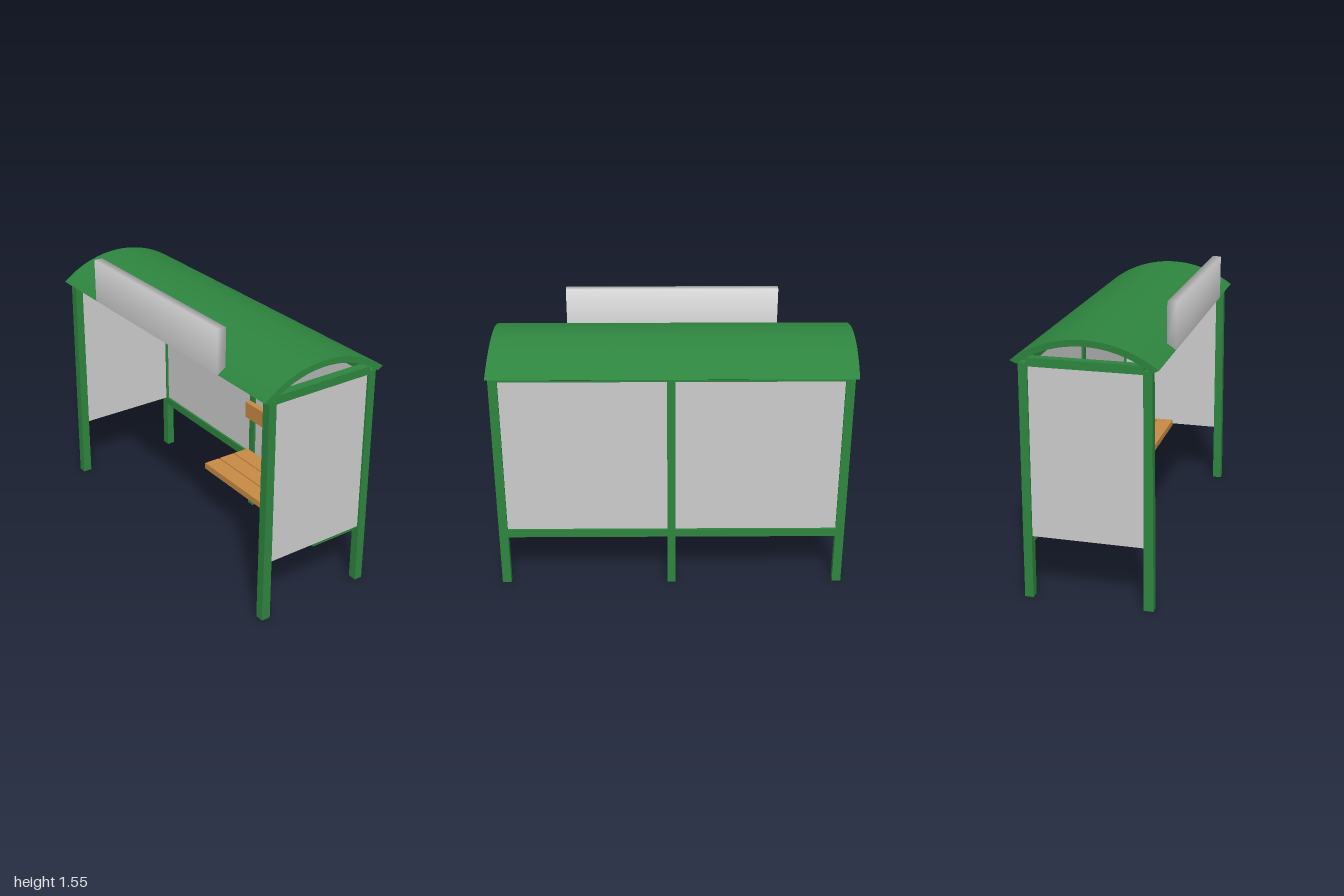
import * as THREE from 'three';
import { mergeVertices, toCreasedNormals } from 'three/addons/utils/BufferGeometryUtils.js';

const mat = (name, color) => Object.assign(new THREE.MeshStandardMaterial({ color }), { name });

export function createModel() {
  const green = mat('green paint', 0x2e853f);
  const pane = mat('grey panel', 0xcccccc);
  const white = mat('white sign', 0xe6e6e6);
  const wood = mat('wood', 0xc88a45);
  const root = new THREE.Group();
  root.name = 'busShelter';

  const add = (name, geo, material) => {
    const m = new THREE.Mesh(geo, material);
    m.name = name;
    root.add(m);
    return m;
  };
  // Box given by its limits on each axis
  const box = (name, material, [x0, x1], [y0, y1], [z0, z1]) => {
    const g = new THREE.BoxGeometry(x1 - x0, y1 - y0, z1 - z0);
    g.translate((x0 + x1) / 2, (y0 + y1) / 2, (z0 + z1) / 2);
    return add(name, g, material);
  };

  const wallX = [0.295, 0.342];
  const ends = [[0.94, 0.99], [-0.975, -0.925]];
  const mid = [-0.013, 0.032];

  // Posts: three along the wall, two slightly leaning on the open side
  for (const z of [...ends, mid]) box('wallPost', green, wallX, [0, 1.288], z);
  for (const z of ends) {
    const post = box('openSidePost', green, [-0.356, -0.304], [0, 1.288], z);
    const p = post.geometry.attributes.position;
    for (let i = 0; i < p.count; i++) {
      if (p.getY(i) > 1) p.setX(i, p.getX(i) < -0.33 ? -0.343 : -0.298);
    }
    post.geometry.computeVertexNormals();
  }

  // Rails
  box('lowerWallRail', green, wallX, [0.305, 0.353], [-0.93, 0.945]);
  box('upperWallRail', green, [0.295, 0.335], [1.268, 1.3], [-0.93, 0.945]);
  for (const z of ends) box('endTopRail', green, [-0.3, 0.3], [1.27, 1.315], z);

  // Panels
  for (const z of [[0.032, 0.94], [-0.925, -0.013]])
    box('wallPanel', pane, [0.308, 0.33], [0.353, 1.27], z);
  for (const [z0, z1] of ends)
    box('endPanel', pane, [-0.305, 0.3], [0.348, 1.27], [z0 + 0.011, z1 - 0.011]);

  // Curved roof shell, its ends slightly raked
  const cy = 0.81, R = 0.62, r = 0.586, half = Math.asin(0.379 / R);
  const a0 = Math.PI / 2 - half, a1 = Math.PI / 2 + half;
  const arc = new THREE.Shape();
  arc.absarc(0, cy, R, a0, a1, false);
  arc.absarc(0, cy, r, a1 - 0.03, a0 + 0.03, true);
  let roof = new THREE.ExtrudeGeometry(arc, { depth: 1.99, bevelEnabled: false, curveSegments: 28 });
  const p = roof.attributes.position;
  for (let i = 0; i < p.count; i++) p.setZ(i, p.getZ(i) - 0.99 - 0.06 * (p.getY(i) - 1.3));
  roof = toCreasedNormals(roof, 0.4);
  add('roof', roof, green);

  // Sign board with soft shading across its edges
  let sign = new THREE.BoxGeometry(0.05, 0.25, 1.22);
  sign.translate(-0.356, 1.427, 0);
  sign.deleteAttribute('normal');
  sign.deleteAttribute('uv');
  sign = mergeVertices(sign);
  sign.computeVertexNormals();
  add('signBoard', sign, white);

  // Bench: brackets, three slats and a backrest
  for (const z of [[-0.008, 0.03], [0.91, 0.95]])
    box('benchBracket', green, [0.01, 0.3], [0.308, 0.35], z);
  for (let i = 0; i < 3; i++) {
    const x = -0.03 + i * 0.106;
    box('seatSlat', wood, [x, x + 0.099], [0.35, 0.387], [-0.01, 0.91]);
  }
  box('backrest', wood, [0.262, 0.296], [0.61, 0.71], [-0.01, 0.94]);

  return root;
}
